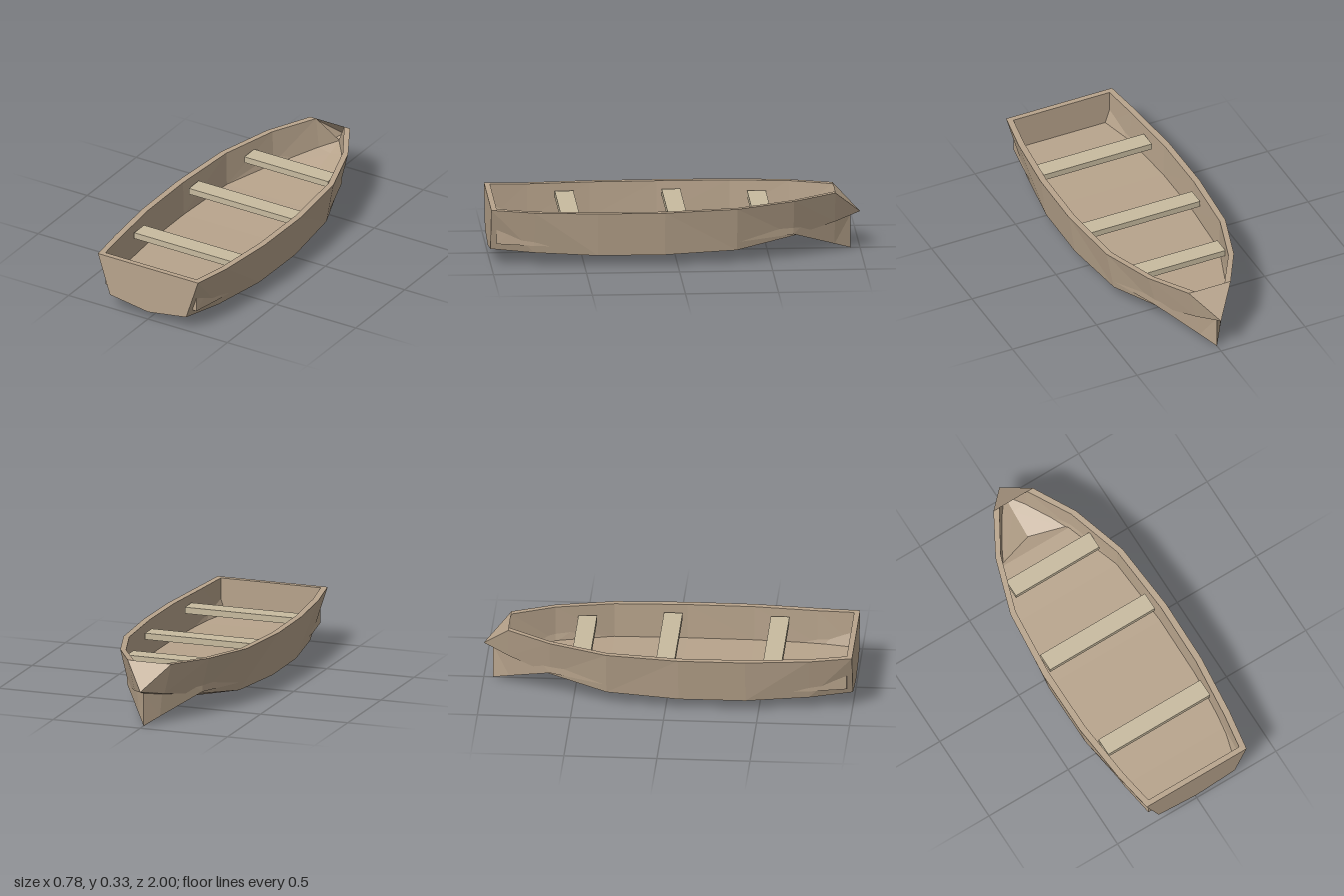
import * as THREE from 'three';

const hullMat = new THREE.MeshStandardMaterial({ color: 0xb8a48c, flatShading: true, side: THREE.DoubleSide });
const seatMat = new THREE.MeshStandardMaterial({ color: 0xc8bb9f, flatShading: true });

// Stations, stern to bow: z, gunwale half-width, gunwale y, chine half-width, chine y, keel y
const outer = [
  [1.0, 0.315, 0.31, 0.24, 0.08, 0.043],
  [0.77, 0.352, 0.30, 0.302, 0.07, 0.03],
  [0.43, 0.385, 0.298, 0.35, 0.06, 0.017],
  [0.07, 0.388, 0.298, 0.353, 0.06, 0.015],
  [-0.32, 0.354, 0.305, 0.31, 0.07, 0.026],
  [-0.63, 0.255, 0.32, 0.205, 0.12, 0.07],
  [-0.86, 0.125, 0.332, 0.085, 0.165, 0.145],
  [-1.0, 0, 0.20, 0, 0.20, 0.20],
];
// Lining: z, rim half-width, rim y, floor half-width, floor y
const lining = [
  [0.97, 0.286, 0.31, 0.286, 0.117],
  [0.77, 0.317, 0.30, 0.315, 0.11],
  [0.43, 0.35, 0.298, 0.346, 0.105],
  [0.07, 0.353, 0.298, 0.348, 0.105],
  [-0.32, 0.321, 0.305, 0.318, 0.115],
  [-0.63, 0.222, 0.32, 0.215, 0.13],
  [-0.86, 0.088, 0.332, 0.06, 0.037],
  [-0.95, 0, 0.185, 0, 0],
];

const rail = (rows, xi, yi) => rows.map((r) => [xi === null ? 0 : r[xi], r[yi], r[0]]);
const flip = ([x, y, z]) => [-x, y, z];

// Mesh from a list of triangles, dropping collapsed ones
function triMesh(name, tris) {
  const flat = tris.filter((t) => {
    const [a, b, c] = t.map((p) => new THREE.Vector3(...p));
    return b.sub(a).cross(c.sub(a)).length() > 1e-7;
  }).flat(2);
  const geo = new THREE.BufferGeometry();
  geo.setAttribute('position', new THREE.Float32BufferAttribute(flat, 3));
  geo.computeVertexNormals();
  const mesh = new THREE.Mesh(geo, hullMat);
  mesh.name = name;
  return mesh;
}

// Skin between two rails, mirrored to the other side
function skin(a, b) {
  const tris = [];
  for (let i = 0; i < a.length - 1; i++) {
    tris.push([a[i], b[i], b[i + 1]], [a[i], b[i + 1], a[i + 1]]);
  }
  return [...tris, ...tris.map(([p, q, r]) => [flip(p), flip(r), flip(q)])];
}

const quad = (a, b, c, d) => [[a, b, c], [a, c, d]];

export function createModel() {
  const boat = new THREE.Group();
  boat.name = 'rowingBoat';

  const gunwale = rail(outer, 1, 2);
  const chine = rail(outer, 3, 4);
  const keel = rail(outer, null, 5);
  const rim = rail(lining, 1, 2);
  const floor = rail(lining, 3, 4);
  const floorMid = rail(lining, null, 4);

  // Outer shell
  boat.add(triMesh('hullSides', skin(gunwale, chine)));
  boat.add(triMesh('hullBottom', skin(chine, keel)));

  // Flat stern panel with a shallow V at the bottom
  const [g, c, k] = [gunwale[0], chine[0], keel[0]];
  boat.add(triMesh('transom', [...quad(flip(g), flip(c), c, g), [flip(c), k, c]]));

  // Inner walls, floor and inner stern panel
  boat.add(triMesh('innerWalls', skin(floor, rim)));
  boat.add(triMesh('floor', skin(floorMid, floor)));
  boat.add(triMesh('innerTransom', quad(rim[0], floor[0], flip(floor[0]), flip(rim[0]))));

  // Top edge along the sides and across the stern
  boat.add(triMesh('gunwaleRim', [
    ...skin(rim.slice(0, 7), gunwale.slice(0, 7)),
    ...quad(flip(g), g, rim[0], flip(rim[0])),
  ]));

  // Sloping bow cap
  boat.add(triMesh('bowCap', [[gunwale[6], gunwale[7], flip(gunwale[6])]]));

  // Three plank seats: z, half-width
  [[-0.46, 0.263], [-0.005, 0.331], [0.57, 0.321]].forEach(([z, half], i) => {
    const seat = new THREE.Mesh(new THREE.BoxGeometry(2 * half, 0.035, 0.1), seatMat);
    seat.position.set(0, 0.24, z);
    seat.name = ['bowSeat', 'middleSeat', 'sternSeat'][i];
    boat.add(seat);
  });

  return boat;
}
